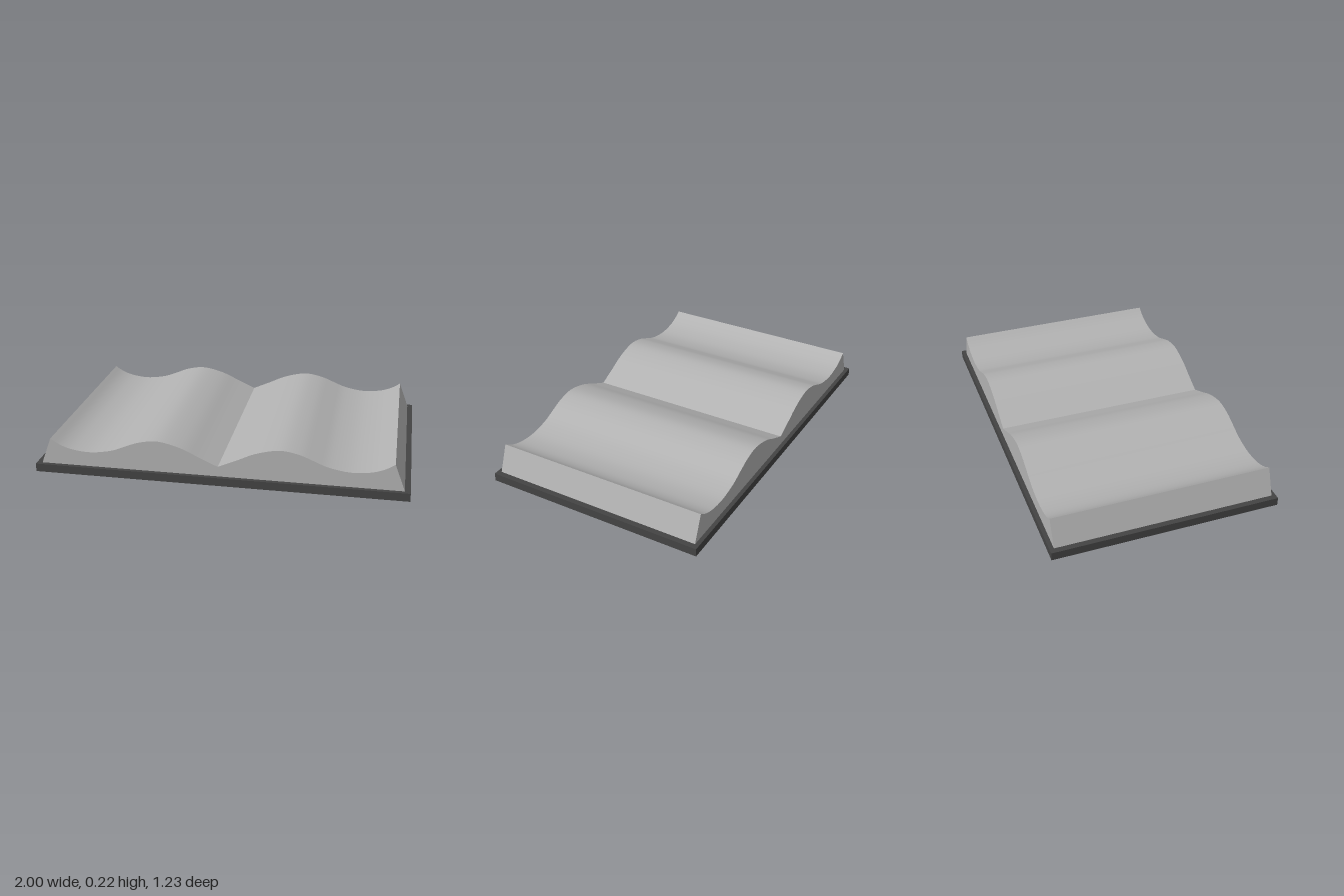
import * as THREE from 'three';
import { toCreasedNormals } from 'three/addons/utils/BufferGeometryUtils.js';

const COVER_HEIGHT = 0.045;
const PAGE_DEPTH = 1.185;

export function createModel() {
  const book = new THREE.Group();
  book.name = 'openBook';

  const coverMaterial = new THREE.MeshStandardMaterial({ color: 0x444444 });
  coverMaterial.name = 'dark grey cover';
  const paperMaterial = new THREE.MeshStandardMaterial({ color: 0xb2b2b2 });
  paperMaterial.name = 'light grey paper';

  // Flat cover lying open
  const cover = new THREE.Mesh(new THREE.BoxGeometry(2, COVER_HEIGHT, 1.23), coverMaterial);
  cover.name = 'cover';
  cover.position.y = COVER_HEIGHT / 2;
  book.add(cover);

  // Wave of one half of the pages, from the spine out to the raised edge
  const half = new THREE.SplineCurve([
    [0, 0.1], [0.1, 0.145], [0.2, 0.191], [0.32, 0.219], [0.42, 0.206], [0.5, 0.176],
    [0.58, 0.145], [0.69, 0.127], [0.79, 0.135], [0.86, 0.157], [0.915, 0.19],
  ].map(([x, y]) => new THREE.Vector2(x, y))).getPoints(40);
  const mirrored = half.slice(1).map((p) => new THREE.Vector2(-p.x, p.y));

  // Page block: slanted sides, mirrored waves and a sharp valley at the spine
  const outline = new THREE.Shape([
    new THREE.Vector2(-0.97, COVER_HEIGHT),
    new THREE.Vector2(0.97, COVER_HEIGHT),
    ...half.reverse(),
    ...mirrored,
  ]);
  const block = new THREE.ExtrudeGeometry(outline, { depth: PAGE_DEPTH, bevelEnabled: false });
  block.translate(0, 0, -PAGE_DEPTH / 2);
  const pages = new THREE.Mesh(toCreasedNormals(block, 0.5), paperMaterial);
  pages.name = 'pages';
  book.add(pages);

  return book;
}
